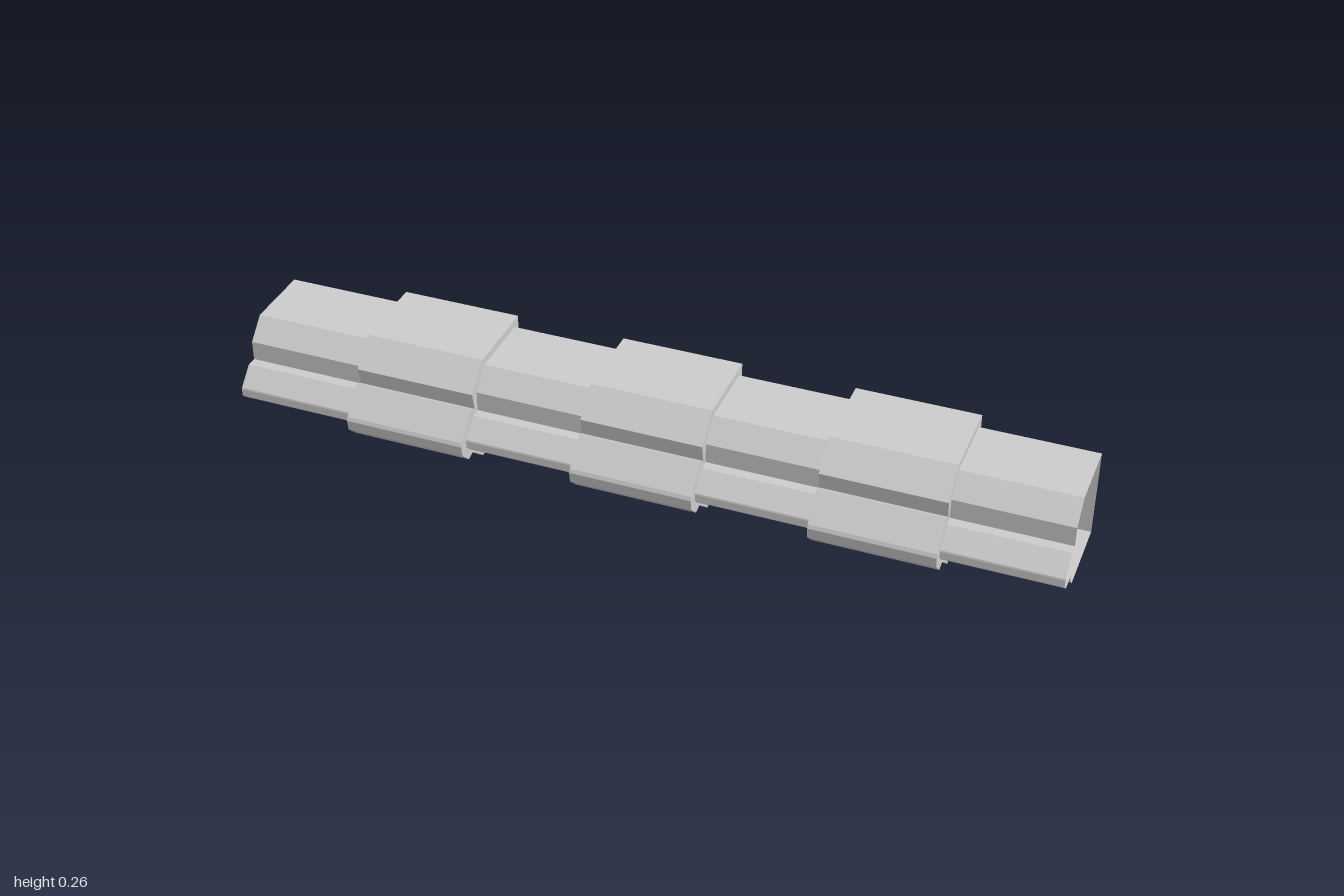
import * as THREE from 'three';

// Matching cross-sections as [z, y], running up the back, over the top and down the front
const TUBE = [
  [-0.147, 0.02], [-0.147, 0.238], [0.025, 0.238], [0.073, 0.19], [0.073, 0.141],
  [0.098, 0.141], [0.14, 0.1], [0.141, 0.096], [0.141, 0.078], [0.123, 0.062],
  [0.073, 0.062], [0.073, 0.045], [0.048, 0.02],
];
const COLLAR = [
  [-0.168, 0], [-0.168, 0.257], [0.034, 0.257], [0.097, 0.198], [0.088, 0.154],
  [0.107, 0.163], [0.164, 0.106], [0.168, 0.097], [0.164, 0.07], [0.132, 0.039],
  [0.077, 0.053], [0.097, 0.035], [0.057, 0],
];

const material = new THREE.MeshStandardMaterial({
  color: 0xcccccc, flatShading: true, side: THREE.DoubleSide,
});

// Skins a list of { x, profile } sections into an open-ended sleeve
function sleeve(name, sections) {
  const n = TUBE.length;
  const positions = [];
  const indices = [];
  for (const { x, profile } of sections) {
    for (const [z, y] of profile) positions.push(x, y, z);
  }
  for (let s = 0; s < sections.length - 1; s++) {
    for (let i = 0; i < n; i++) {
      const j = (i + 1) % n;
      const a = s * n + i, d = s * n + j;
      const b = a + n, c = d + n;
      indices.push(a, d, c, a, c, b);
    }
  }
  const geometry = new THREE.BufferGeometry();
  geometry.setAttribute('position', new THREE.Float32BufferAttribute(positions, 3));
  geometry.setIndex(indices);
  const flat = geometry.toNonIndexed();
  flat.computeVertexNormals();
  const mesh = new THREE.Mesh(flat, material);
  mesh.name = name;
  return mesh;
}

export function createModel() {
  const model = new THREE.Group();
  model.name = 'collaredTube';

  const collars = [[-0.705, -0.41], [-0.14, 0.155], [0.428, 0.723]];
  let start = -1;
  for (const [x0, x1] of collars) {
    // Plain tube up to the collar
    model.add(sleeve('tubeSection', [{ x: start, profile: TUBE }, { x: x0, profile: TUBE }]));
    // Wider collar with a flat step at each end
    model.add(sleeve('collar', [
      { x: x0, profile: TUBE }, { x: x0, profile: COLLAR },
      { x: x1, profile: COLLAR }, { x: x1, profile: TUBE },
    ]));
    start = x1;
  }
  // Last plain section
  model.add(sleeve('tubeSection', [{ x: start, profile: TUBE }, { x: 1, profile: TUBE }]));
  return model;
}
